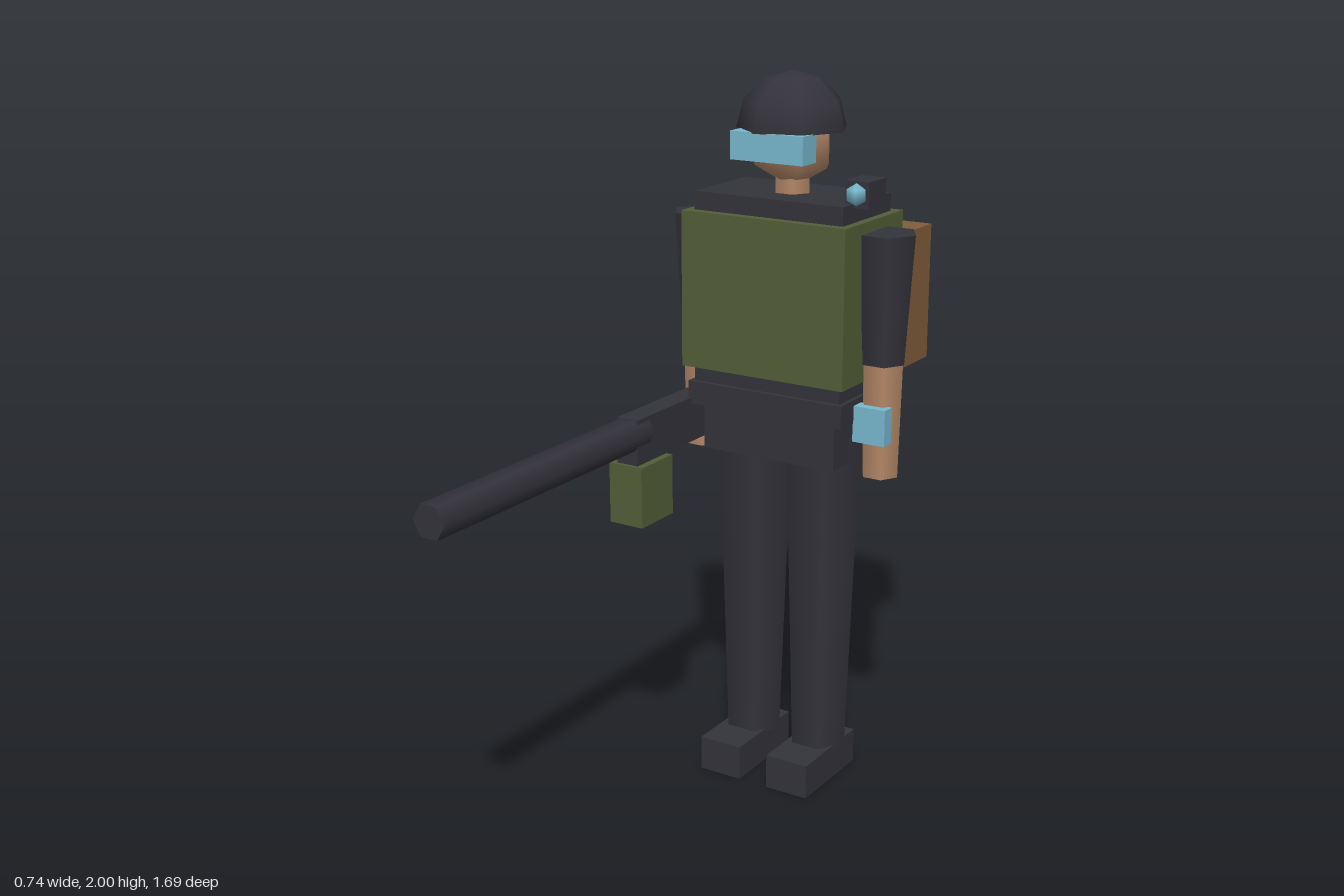
import * as THREE from 'three';

const mat = (name, color) => {
  const m = new THREE.MeshStandardMaterial({ color });
  m.name = name;
  return m;
};

export function createModel() {
  const model = new THREE.Group();
  model.name = 'soldier';
  const dark = mat('charcoal', 0x34333b);
  const green = mat('olive', 0x535e38);
  const brown = mat('brown', 0x7f5d3b);
  const skin = mat('skin', 0xb58868);
  const cyan = mat('light blue', 0x77b9ce);
  const Z = -0.375; // depth of the body axis

  const add = (name, geometry, material, x, y, z) => {
    const mesh = new THREE.Mesh(geometry, material);
    mesh.name = name;
    mesh.position.set(x, y, z);
    model.add(mesh);
    return mesh;
  };
  // box given by its limits on each axis
  const box = (name, material, [x0, x1], [y0, y1], [z0, z1]) =>
    add(name, new THREE.BoxGeometry(x1 - x0, y1 - y0, z1 - z0), material,
      (x0 + x1) / 2, (y0 + y1) / 2, (z0 + z1) / 2);
  // six-sided tapered limb with corners towards the sides
  const limb = (name, material, x, y0, y1, rBottom, rTop) =>
    add(name, new THREE.CylinderGeometry(rTop, rBottom, y1 - y0, 6).rotateY(Math.PI / 2),
      material, x, (y0 + y1) / 2, Z);

  // torso and clothing
  box('torso', dark, [-0.227, 0.227], [1.1, 1.68], [-0.507, -0.243]);
  box('vest', green, [-0.25, 0.25], [1.2, 1.63], [-0.535, -0.215]);
  box('belt', dark, [-0.24, 0.24], [1.09, 1.155], [-0.52, -0.23]);
  box('pelvis', dark, [-0.205, 0.205], [0.96, 1.1], [-0.492, -0.258]);
  box('backpack', brown, [-0.185, 0.185], [1.145, 1.535], [-0.845, -0.562]);

  // legs, boots and arms
  for (const [side, s] of [['left', 1], ['right', -1]]) {
    limb(side + 'Leg', dark, s * 0.108, 0.09, 1.03, 0.086, 0.117);
    box(side + 'Boot', dark, [s * 0.11 - 0.065, s * 0.11 + 0.065], [0, 0.1], [-0.47, -0.19]);
    limb(side + 'UpperArm', dark, s * 0.285, 1.25, 1.6, 0.063, 0.085);
    limb(side + 'Forearm', skin, s * 0.285, 0.935, 1.25, 0.053, 0.06);
  }
  box('wristScreen', cyan, [0.238, 0.334], [1.04, 1.14], [-0.34, -0.3]);

  // head, helmet and goggles
  add('neck', new THREE.CylinderGeometry(0.052, 0.052, 0.1, 6).rotateY(Math.PI / 2),
    skin, 0, 1.7, Z);
  add('head', new THREE.SphereGeometry(0.12, 7, 3).rotateY(Math.PI), skin, 0, 1.81, Z);
  add('helmet', new THREE.SphereGeometry(0.152, 7, 3, 0, Math.PI * 2, 0, Math.PI / 2)
    .rotateY(Math.PI), dark, 0, 1.848, Z);
  add('helmetUnderside', new THREE.CircleGeometry(0.152, 7).rotateX(Math.PI / 2),
    dark, 0, 1.848, Z);
  box('goggles', cyan, [-0.11, 0.11], [1.775, 1.85], [-0.305, -0.235]);

  // shoulder lamp
  box('lampHousing', dark, [0.203, 0.273], [1.67, 1.74], [-0.388, -0.295]);
  add('lamp', new THREE.SphereGeometry(0.03, 5, 3).rotateY(Math.PI), cyan, 0.238, 1.706, -0.292);

  // long gun held at the right side
  box('receiver', dark, [-0.295, -0.23], [0.98, 1.107], [-0.31, 0.035]);
  add('barrel', new THREE.CylinderGeometry(0.048, 0.048, 0.865, 6)
    .rotateY(Math.PI / 2).rotateX(Math.PI / 2), dark, -0.26, 1.064, 0.4095);
  box('magazine', green, [-0.315, -0.21], [0.81, 0.98], [-0.103, 0.045]);

  return model;
}
